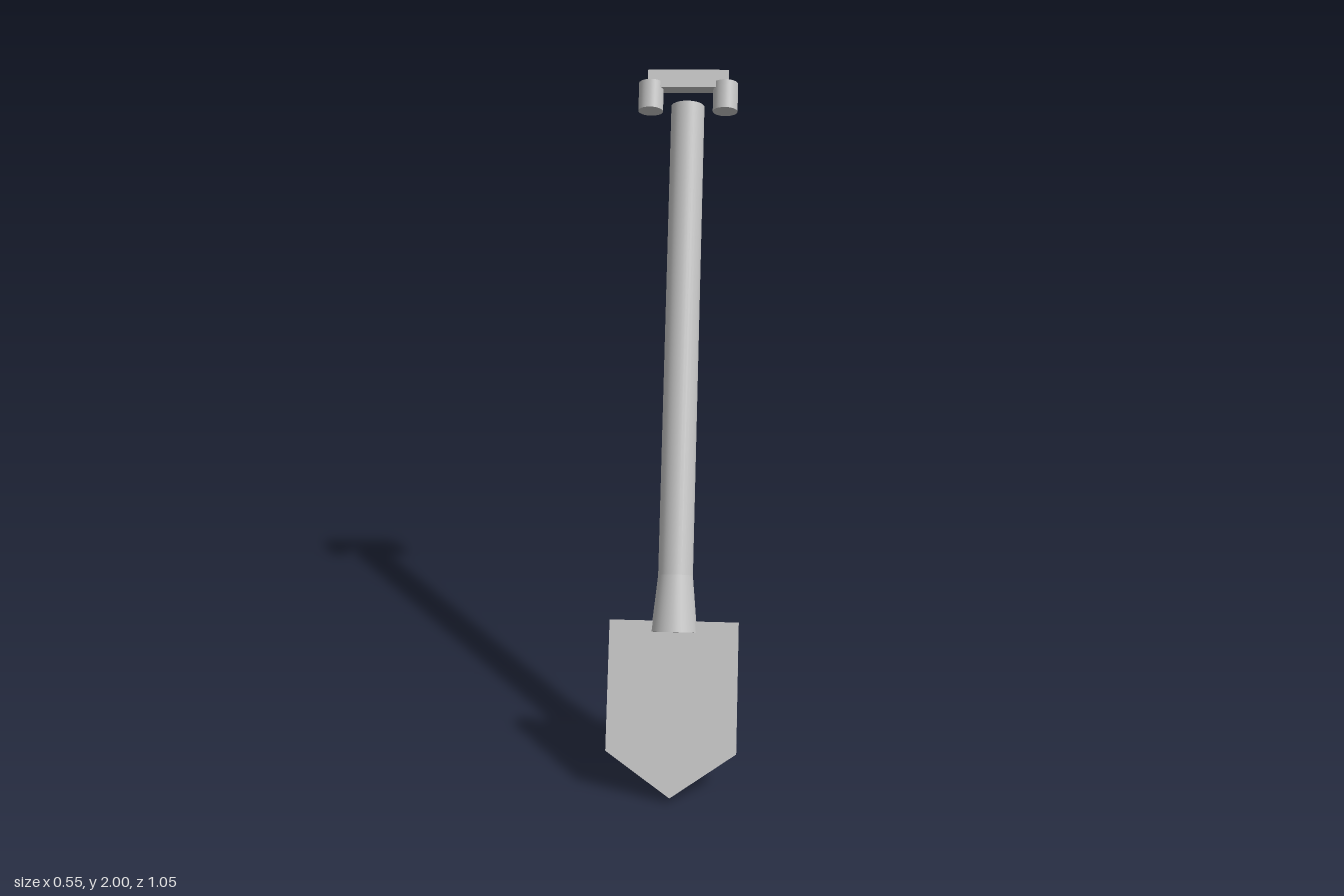
import * as THREE from 'three';

const SIDES = 32;

export function createModel() {
  const model = new THREE.Group();
  model.name = 'shovel';
  const grey = new THREE.MeshStandardMaterial({ color: 0xc0c0c0 });
  grey.name = 'grey';

  // Built upright along its own axis, then leaned back and turned
  const shovel = new THREE.Group();
  shovel.name = 'leaningShovel';
  shovel.rotation.set(-0.471, 0.227, 0, 'YXZ');
  shovel.position.set(0.046, 0.466, 0.286);
  model.add(shovel);

  const add = (name, geometry, x = 0, y = 0, z = 0) => {
    const mesh = new THREE.Mesh(geometry, grey);
    mesh.name = name;
    mesh.position.set(x, y, z);
    shovel.add(mesh);
  };
  const rod = (name, rTop, rBottom, y0, y1, x = 0) =>
    add(name, new THREE.CylinderGeometry(rTop, rBottom, y1 - y0, SIDES), x, (y0 + y1) / 2);

  // Flat pointed blade, centred on the shaft axis
  const outline = new THREE.Shape([
    [-0.191, 0], [-0.191, -0.38], [0, -0.51], [0.191, -0.38], [0.191, 0],
  ].map(([x, y]) => new THREE.Vector2(x, y)));
  const thickness = 0.036;
  add('blade', new THREE.ExtrudeGeometry(outline, { depth: thickness, bevelEnabled: false }),
    0, 0, -thickness / 2);

  // Flared socket and straight shaft
  rod('socket', 0.052, 0.0685, -0.033, 0.135);
  rod('shaft', 0.052, 0.052, 0.135, 1.6);

  // Grip bar floating above the shaft, with a round peg at each end
  add('gripBar', new THREE.BoxGeometry(0.253, 0.057, 0.05), 0, 1.684);
  for (const [name, side] of [['leftPeg', 1], ['rightPeg', -1]]) {
    rod(name, 0.039, 0.039, 1.585, 1.676, side * 0.117);
  }
  return model;
}
